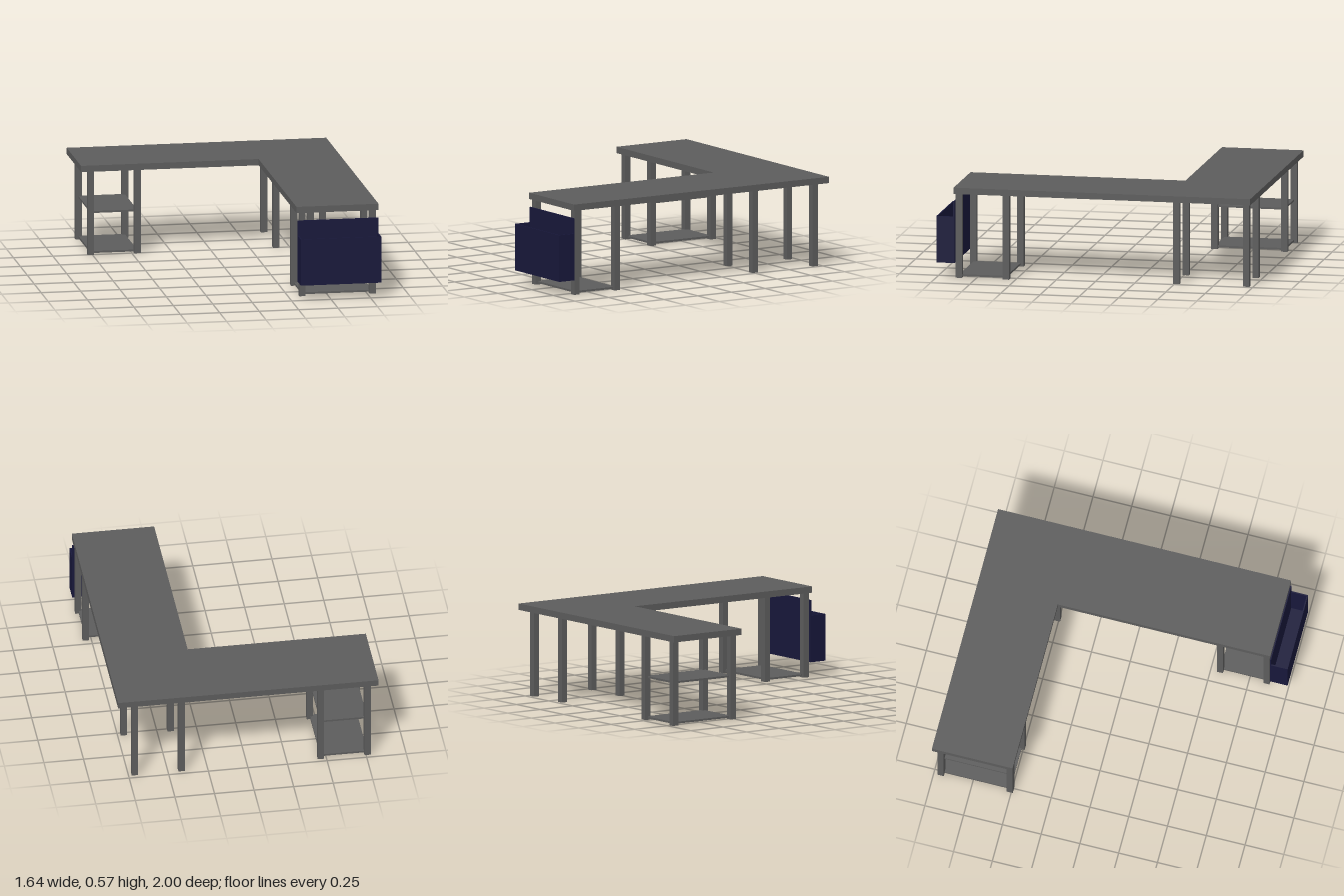
import * as THREE from 'three';

const TOP_Y = 0.535, TOP_THICK = 0.04, LEG = 0.04;

export function createModel() {
  const model = new THREE.Group();
  model.name = 'cornerDesk';
  const grey = new THREE.MeshStandardMaterial({ color: 0x5c5c5c });
  const navy = new THREE.MeshStandardMaterial({ color: 0x17173a });

  // Box given by its minimum and maximum corners
  function box(parent, name, material, min, max) {
    const size = max.map((v, i) => v - min[i]);
    const mesh = new THREE.Mesh(new THREE.BoxGeometry(...size), material);
    mesh.position.set(...min.map((v, i) => v + size[i] / 2));
    mesh.name = name;
    parent.add(mesh);
  }

  // L-shaped desktop, drawn in plan (shape y = -z) and extruded upward
  const plan = new THREE.Shape([
    [-0.825, 1], [-0.825, 0.48], [0.3, 0.48], [0.3, -0.89], [0.82, -0.89], [0.82, 1],
  ].map(([x, y]) => new THREE.Vector2(x, y)));
  const topGeometry = new THREE.ExtrudeGeometry(plan, { depth: TOP_THICK, bevelEnabled: false });
  topGeometry.rotateX(-Math.PI / 2);
  const desktop = new THREE.Mesh(topGeometry, grey);
  desktop.position.y = TOP_Y;
  desktop.name = 'desktop';
  model.add(desktop);

  // Four legs at the given centre lines, with shelves spanning between them
  function legUnit(name, xs, zs, shelfHeights) {
    const unit = new THREE.Group();
    unit.name = name;
    for (const x of xs) for (const z of zs) {
      box(unit, 'leg', grey, [x - LEG / 2, 0, z - LEG / 2], [x + LEG / 2, TOP_Y, z + LEG / 2]);
    }
    for (const y of shelfHeights) {
      box(unit, 'shelf', grey, [xs[0], y - 0.006, zs[0]], [xs[1], y + 0.006, zs[1]]);
    }
    model.add(unit);
  }
  legUnit('sideShelfUnit', [-0.76, -0.465], [-0.955, -0.51], [0.014, 0.27]);
  legUnit('cornerLegs', [0.415, 0.71], [-0.955, -0.51], []);
  legUnit('frontShelfUnit', [0.34, 0.785], [0.56, 0.86], [0.014]);

  // Open-topped bin with a taller back panel
  const bin = new THREE.Group();
  bin.name = 'hangingBin';
  const x0 = 0.308, x1 = 0.818, y0 = 0.095, y1 = 0.39, z0 = 0.885, z1 = 1, t = 0.008;
  box(bin, 'binBack', navy, [x0, y0, z0], [x1, 0.487, z0 + t]);
  box(bin, 'binFront', navy, [x0, y0, z1 - t], [x1, y1, z1]);
  for (const x of [x0, x1 - t]) box(bin, 'binSide', navy, [x, y0, z0 + t], [x + t, y1, z1 - t]);
  box(bin, 'binFloor', navy, [x0 + t, y0, z0 + t], [x1 - t, y0 + t, z1 - t]);
  model.add(bin);

  return model;
}
